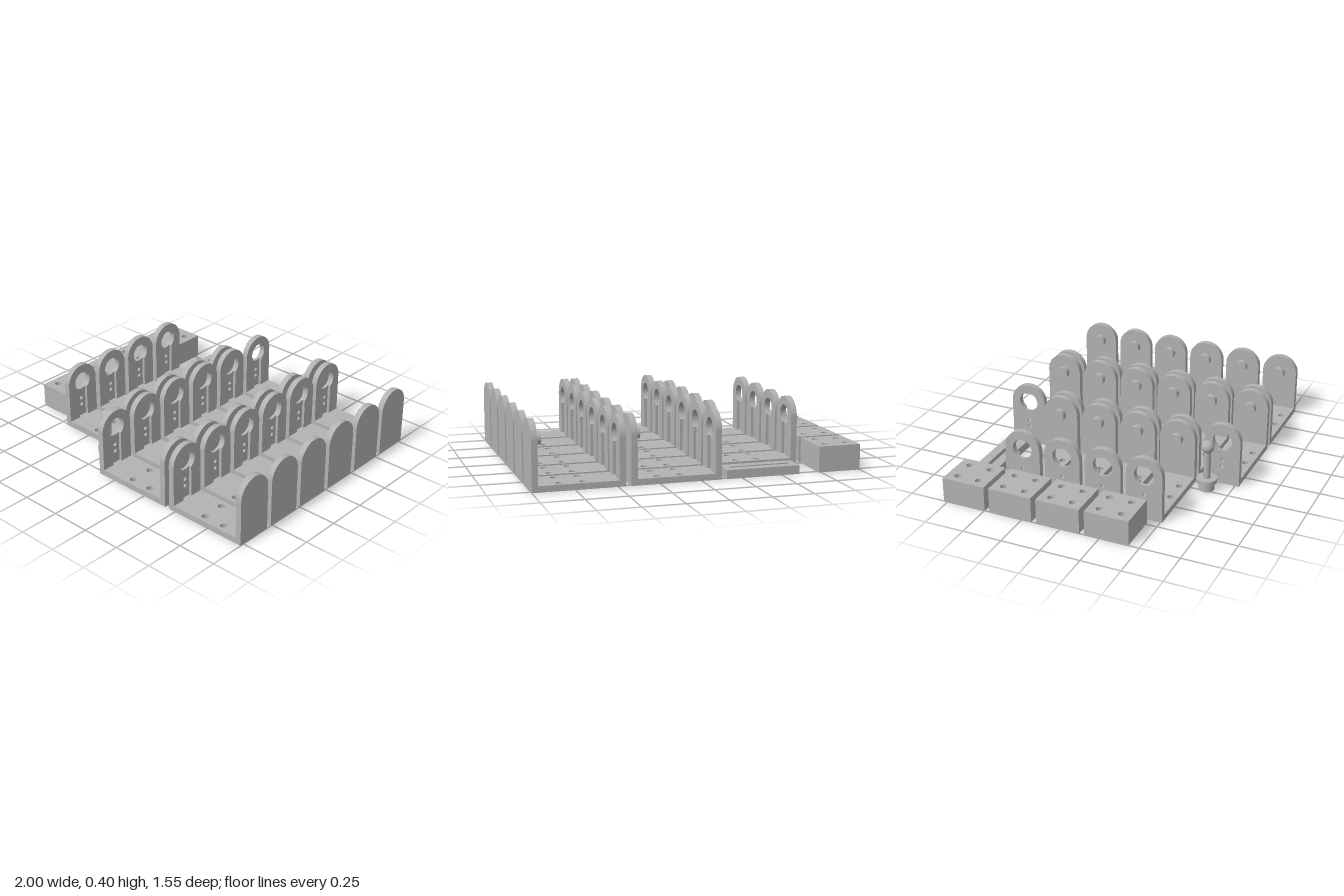
import * as THREE from 'three';
import { toCreasedNormals } from 'three/addons/utils/BufferGeometryUtils.js';

const grey = new THREE.MeshStandardMaterial({ color: 0xb2b2b2 });
grey.name = 'plain grey';

const LEN = 0.545, HALF = 0.115, WALL = 0.037; // bracket length, half depth, sheet thickness
const ARCH_Y = 0.288, EYE_R = 0.062, SLOT = 0.034;

function extrude(shape, depth) {
  const g = new THREE.ExtrudeGeometry(shape, { depth, bevelEnabled: false, curveSegments: 20 });
  return toCreasedNormals(g, 0.6);
}
// Lay an outline flat (thickness along +y) or stand it up (thickness along +x)
const flat = (shape, depth) => extrude(shape, depth).rotateX(-Math.PI / 2);
const upright = (shape, depth) => extrude(shape, depth).rotateY(Math.PI / 2);

function addHole(shape, x, y, r) {
  const p = new THREE.Path();
  p.absarc(x, y, r, 0, Math.PI * 2, true);
  shape.holes.push(p);
}
function rect(x0, y0, x1, y1) {
  return new THREE.Shape([[x0, y0], [x1, y0], [x1, y1], [x0, y1]].map(p => new THREE.Vector2(...p)));
}
// Four screw holes in a square around a centre
function addScrewHoles(shape, cx) {
  for (const x of [-0.07, 0.07]) for (const y of [-0.07, 0.07]) addHole(shape, cx + x, y, 0.021);
}
function arch() {
  const s = new THREE.Shape();
  s.moveTo(-HALF, WALL);
  s.lineTo(HALF, WALL);
  s.lineTo(HALF, ARCH_Y);
  s.absarc(0, ARCH_Y, HALF, 0, Math.PI, false);
  s.closePath();
  return s;
}
// Arch with a keyhole that runs down to the floor
function keyholeArch() {
  const q = Math.sqrt(EYE_R ** 2 - SLOT ** 2), s = new THREE.Shape();
  s.moveTo(-HALF, WALL);
  s.lineTo(-SLOT, WALL);
  s.lineTo(-SLOT, ARCH_Y - q);
  s.absarc(0, ARCH_Y, EYE_R, Math.atan2(-q, -SLOT), Math.atan2(-q, SLOT), true);
  s.lineTo(SLOT, WALL);
  s.lineTo(HALF, WALL);
  s.lineTo(HALF, ARCH_Y);
  s.absarc(0, ARCH_Y, HALF, 0, Math.PI, false);
  s.closePath();
  return s;
}

export function createModel() {
  const model = new THREE.Group();
  model.name = 'hingeBracketKit';

  const add = (parent, name, geo, x = 0, y = 0, z = 0) => {
    const m = new THREE.Mesh(geo, grey);
    m.name = name;
    m.position.set(x, y, z);
    parent.add(m);
    return m;
  };

  // Shared bracket geometry
  const baseShape = rect(0, -HALF, LEN, HALF);
  addScrewHoles(baseShape, 0.31);
  const outerShape = arch();
  addHole(outerShape, 0, ARCH_Y, EYE_R);
  for (const y of [0.115, 0.16]) addHole(outerShape, 0, y, 0.012);
  const baseGeo = flat(baseShape, WALL);
  const eyeOuterGeo = upright(outerShape, WALL / 2);
  const eyeInnerGeo = upright(keyholeArch(), WALL / 2);
  const pegWallGeo = upright(arch(), WALL);
  const pegGeo = new THREE.CylinderGeometry(0.038, 0.038, 0.04, 32).rotateZ(Math.PI / 2);

  function addBracket(x, z) {
    const b = new THREE.Group();
    b.name = 'bracket';
    b.position.set(x, 0, z);
    add(b, 'base', baseGeo);
    add(b, 'eyeWallOuter', eyeOuterGeo);
    add(b, 'eyeWallKeyhole', eyeInnerGeo, WALL / 2);
    add(b, 'pegWall', pegWallGeo, LEN - WALL);
    add(b, 'peg', pegGeo, LEN - WALL - 0.018, ARCH_Y);
    model.add(b);
  }
  // Three columns; the left one only has the four middle rows
  [-0.7, -0.1225, 0.455].forEach((x, col) => {
    for (let row = 0; row < 6; row++) {
      if (col === 0 && (row === 0 || row === 5)) continue;
      addBracket(x, (row - 2.5) * 0.264);
    }
  });

  // Drilled spacer blocks
  const blockShape = rect(-0.1325, -0.139, 0.1325, 0.139);
  addScrewHoles(blockShape, 0);
  const blockGeo = flat(blockShape, 0.157);
  for (let i = 0; i < 4; i++) add(model, 'spacerBlock', blockGeo, -0.8675, 0, -0.637 + i * 0.31);

  // Grooved plate: solid bottom and slotted top layer
  const grooved = rect(-0.2275, -0.072, 0.2275, 0.072);
  grooved.holes.push(rect(-0.1875, -0.013, 0.1875, 0.013));
  const plate = new THREE.Group();
  plate.name = 'groovedPlate';
  plate.position.set(-0.3825, 0, -0.704);
  add(plate, 'plateBottom', flat(rect(-0.2275, -0.072, 0.2275, 0.072), 0.027));
  add(plate, 'plateTop', flat(grooved, 0.026), 0, 0.027);
  model.add(plate);

  // Ball-headed pin
  const pin = new THREE.Group();
  pin.name = 'ballPin';
  pin.position.set(-0.222, 0, 0.603);
  const cyl = (name, r, y0, y1) =>
    add(pin, name, new THREE.CylinderGeometry(r, r, y1 - y0, 40), 0, (y0 + y1) / 2);
  cyl('foot', 0.048, 0, 0.052);
  cyl('flange', 0.064, 0.052, 0.079);
  cyl('stem', 0.022, 0.079, 0.27);
  add(pin, 'ball', new THREE.SphereGeometry(0.04, 32, 20), 0, 0.289);
  model.add(pin);

  return model;
}
